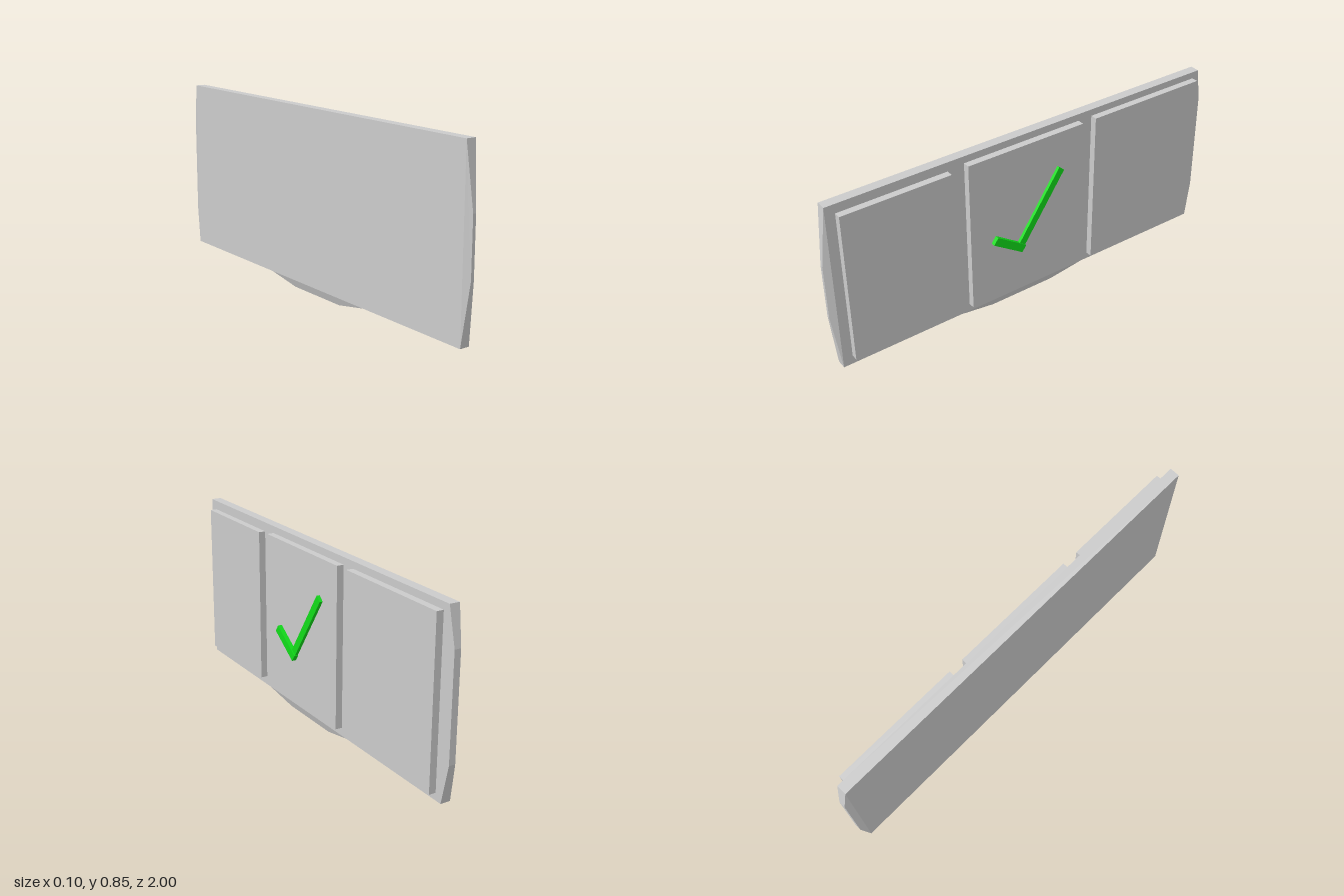
import * as THREE from 'three';

const grey = new THREE.MeshStandardMaterial({ color: 0xcccccc, flatShading: true });
const green = new THREE.MeshStandardMaterial({ color: 0x11dd1a, flatShading: true });

// Closed loft through rectangles [x0, x1, y0, y1, z], ordered by rising z
function loft(rings) {
  const pos = [], idx = [];
  for (const [x0, x1, y0, y1, z] of rings) pos.push(x0, y0, z, x1, y0, z, x1, y1, z, x0, y1, z);
  for (let r = 0; r < rings.length - 1; r++) {
    for (let i = 0; i < 4; i++) {
      const a = r * 4 + i, b = r * 4 + (i + 1) % 4;
      idx.push(a, b, b + 4, a, b + 4, a + 4);
    }
  }
  const e = (rings.length - 1) * 4;
  idx.push(0, 2, 1, 0, 3, 2, e, e + 1, e + 2, e, e + 2, e + 3);
  const g = new THREE.BufferGeometry();
  g.setAttribute('position', new THREE.Float32BufferAttribute(pos, 3));
  g.setIndex(idx);
  const flat = g.toNonIndexed();
  flat.computeVertexNormals();
  return flat;
}

// Bar with a [z, y] outline, extruded along x
function bar(outline, x0, x1) {
  const shape = new THREE.Shape(outline.map(([z, y]) => new THREE.Vector2(-z, y)));
  return new THREE.ExtrudeGeometry(shape, { depth: x1 - x0, bevelEnabled: false })
    .rotateY(Math.PI / 2)
    .translate(x0, 0, 0);
}

export function createModel() {
  const group = new THREE.Group();
  const add = (name, geometry, material = grey) => {
    const mesh = new THREE.Mesh(geometry, material);
    mesh.name = name;
    group.add(mesh);
  };

  // Backing board with tapered ends
  add('board', loft([
    [-0.042, -0.012, 0.21, 0.68, -1],
    [-0.05, -0.004, 0.037, 0.848, -0.97],
    [-0.05, -0.004, 0.037, 0.848, 0.97],
    [-0.034, -0.019, 0.31, 0.57, 1],
  ]));

  // Tapered foot under the board
  add('foot', loft([
    [-0.037, -0.017, -0.2, 0.13, 0],
    [-0.05, -0.004, -0.38, 0.3, 0.037],
  ]).rotateX(-Math.PI / 2));

  // Three raised panels: z0, z1, y0, y1
  [
    ['frontPanel', 0.415, 0.925, 0.08, 0.805],
    ['middlePanel', -0.262, 0.335, 0.075, 0.815],
    ['backPanel', -0.937, -0.333, 0.07, 0.816],
  ].forEach(([name, z0, z1, y0, y1]) => {
    const g = new THREE.BoxGeometry(0.034, y1 - y0, z1 - z0);
    add(name, g.translate(0.011, (y0 + y1) / 2, (z0 + z1) / 2));
  });

  // Check mark from two bars
  add('checkShortBar', bar([[0.23, 0.383], [0.08, 0.283], [0.059, 0.314], [0.208, 0.414]], 0.028, 0.048), green);
  add('checkLongBar', bar([[0.08, 0.288], [-0.15, 0.628], [-0.124, 0.65], [0.106, 0.31]], 0.028, 0.043), green);

  return group;
}
